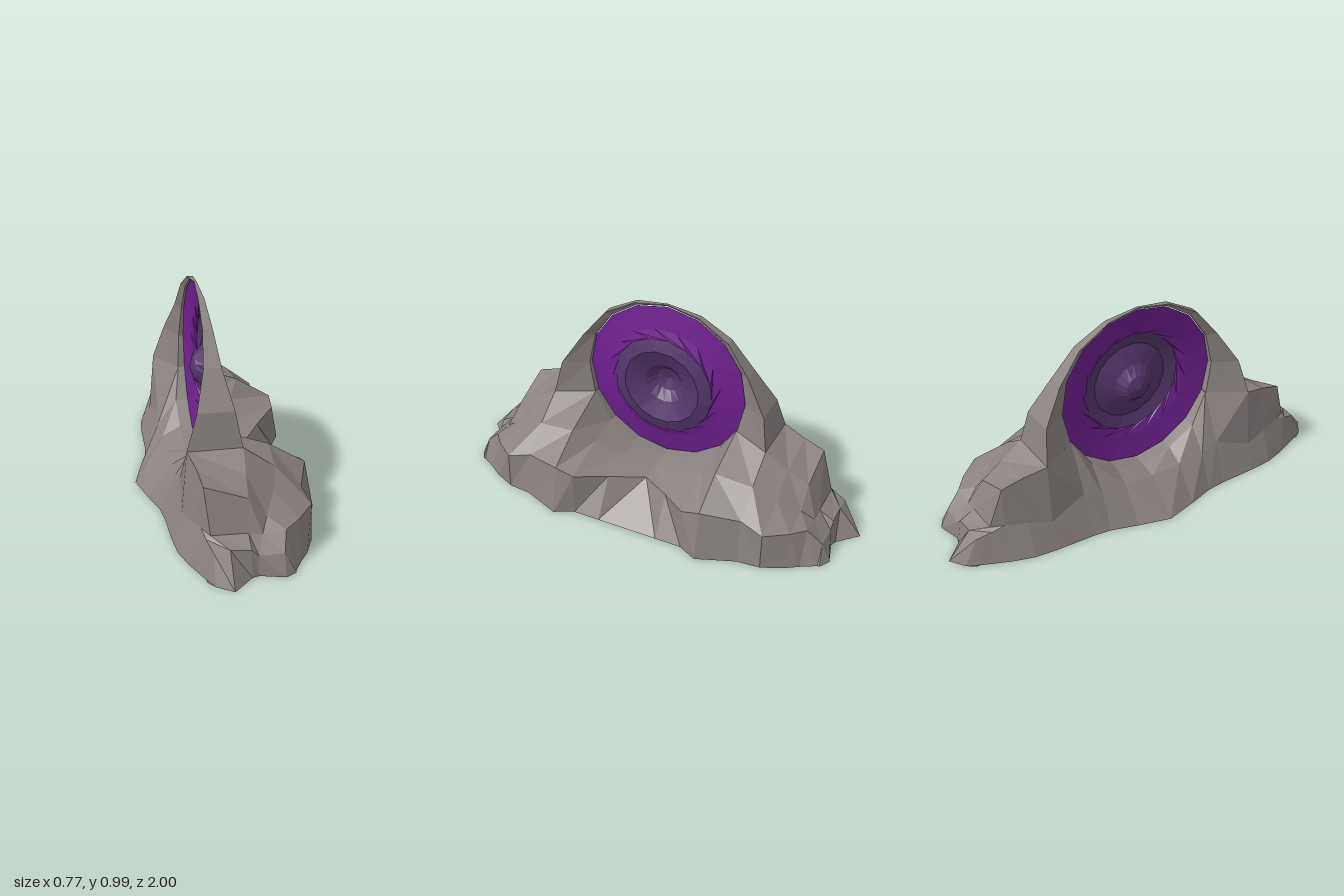
import * as THREE from 'three';

const ROCK = 0x8a8280, PURPLE = 0x6f1f8f, DUSK = 0x54366a;
const SIDES = 16, RADIUS = 0.4, CENTER_Y = 0.578;

// Skins rows of points (each row a closed loop), leaving out the quads that skip() picks;
// diagonals flip halfway so mirrored halves match
function loft(rows, color, name, skip = () => false) {
  const pos = [];
  const n = rows[0].length;
  for (let i = 0; i < rows.length - 1; i++) {
    for (let j = 0; j < n; j++) {
      const k = (j + 1) % n;
      const a = rows[i][j], b = rows[i][k], c = rows[i + 1][k], d = rows[i + 1][j];
      if (skip(j, Math.abs(a[2] + d[2]) / 2)) continue;
      const tris = i < (rows.length - 1) / 2 ? [a, d, b, b, d, c] : [a, d, c, a, c, b];
      tris.forEach((p) => pos.push(...p));
    }
  }
  const geometry = new THREE.BufferGeometry();
  geometry.setAttribute('position', new THREE.Float32BufferAttribute(pos, 3));
  geometry.computeVertexNormals();
  const material = new THREE.MeshStandardMaterial({ color, flatShading: true, side: THREE.DoubleSide });
  const mesh = new THREE.Mesh(geometry, material);
  mesh.name = name;
  return mesh;
}

const flipZ = (row) => row.map(([x, y, z]) => [x, y, -z]);

// Point on a circle around the portal's axis, counted in sides from the crown
function ringPoint(x, radius, step) {
  const a = (step / SIDES) * Math.PI * 2;
  return [x, CENTER_Y + radius * Math.cos(a), radius * Math.sin(a)];
}

// Rock mound: hollow shell of cross-sections from the back foot over the crest to the front foot
function createMound() {
  const half = [
    [0, [-0.39, 0], [-0.23, 0.15], [-0.15, 0.165], [-0.05, 0.17], [0.04, 0.165], [0.13, 0.16], [0.34, 0]],
    [0.28, [-0.31, 0], [-0.24, 0.17], [-0.15, 0.285], [-0.05, 0.29], [0.12, 0.27], [0.335, 0.21], [0.34, 0]],
    [0.37, [-0.3, 0], [-0.23, 0.2], [-0.123, 0.425], [-0.065, 0.425], [0.17, 0.34], [0.34, 0.235], [0.385, 0]],
    [0.55, [-0.295, 0], [-0.25, 0.13], [-0.225, 0.42], [0.02, 0.42], [0.16, 0.32], [0.28, 0.21], [0.315, 0]],
    [0.66, [-0.285, 0], [-0.23, 0.16], [-0.2, 0.39], [0.01, 0.35], [0.13, 0.26], [0.3, 0.18], [0.305, 0]],
    [0.76, [-0.255, 0], [-0.2, 0.17], [-0.19, 0.36], [0, 0.29], [0.08, 0.2], [0.22, 0.17], [0.26, 0]],
    [0.82, [-0.23, 0], [-0.19, 0.15], [-0.17, 0.165], [-0.01, 0.16], [0.05, 0.15], [0.15, 0.16], [0.22, 0]],
    [0.89, [-0.2, 0], [-0.17, 0.125], [-0.1, 0.13], [-0.01, 0.12], [0.02, 0.09], [0.13, 0.09], [0.18, 0]],
  ].map(([z, ...pts]) => pts.map(([x, y]) => [x, y, z]));

  // Extra section under the portal, its crest kept below the round rim
  const z = 0.15;
  const rim = CENTER_Y - Math.sqrt(RADIUS ** 2 - z ** 2);
  const between = half[0].map(([x, y], j) => [(x + half[1][j][0]) / 2, Math.min((y + half[1][j][1]) / 2, rim), z]);
  half.splice(1, 0, between);

  // Ragged tip where the end meets the ground
  const tipZ = [0.91, 0.95, 1, 0.91, 0.9, 0.93, 0.9];
  half.push(half.at(-1).map(([x], j) => [x, 0, tipZ[j]]));

  // Open underneath and where the arch stands on the crest
  const isOpen = (j, midZ) => j === 6 || (j === 2 && midZ > 0.4 && midZ < 0.5);
  return loft([...half.slice(1).reverse().map(flipZ), ...half], ROCK, 'rockMound', isOpen);
}

// Rock arch: [outer z, outer y, front x, back x] from the foot up to the crown; the inner edge is round
function createArch() {
  const half = [
    [0.55, 0.42, 0.02, -0.225],
    [0.52, 0.58, -0.01, -0.175],
    [0.42, 0.74, -0.05, -0.13],
    [0.31, 0.88, -0.07, -0.115],
    [0.16, 0.965, -0.08, -0.108],
    [0, 0.99, -0.088, -0.1],
  ].map(([z, y, front, back], i) => {
    const lip = (front - back) * 0.12;
    return [
      ringPoint(-0.094 + lip, RADIUS + 0.004, 5 - i), [front, y, z],
      [back, y, z], ringPoint(-0.094 - lip, RADIUS + 0.004, 5 - i),
    ];
  });
  return loft([...half, ...half.slice(0, -1).reverse().map(flipZ)], ROCK, 'rockArch');
}

// Swirling portal sheet: rings of [radius, x, twist], swelling forward, then dipping at the centre
function createPortal() {
  const rows = [
    [RADIUS, -0.092, 0], [0.29, -0.07, 0.5], [0.25, -0.048, 1.3],
    [0.19, -0.03, 1.6], [0.1, -0.065, 2], [0.06, -0.105, 2.5], [0, -0.125, 2.5],
  ].map(([r, x, twist]) => Array.from({ length: SIDES }, (_, i) => ringPoint(x, r, -i - twist)));
  const portal = new THREE.Group();
  portal.name = 'portal';
  portal.add(loft(rows.slice(0, 3), PURPLE, 'portalSwirl'), loft(rows.slice(2), DUSK, 'portalCore'));
  return portal;
}

export function createModel() {
  const group = new THREE.Group();
  group.name = 'stonePortal';
  group.add(createMound(), createArch(), createPortal());
  return group;
}
